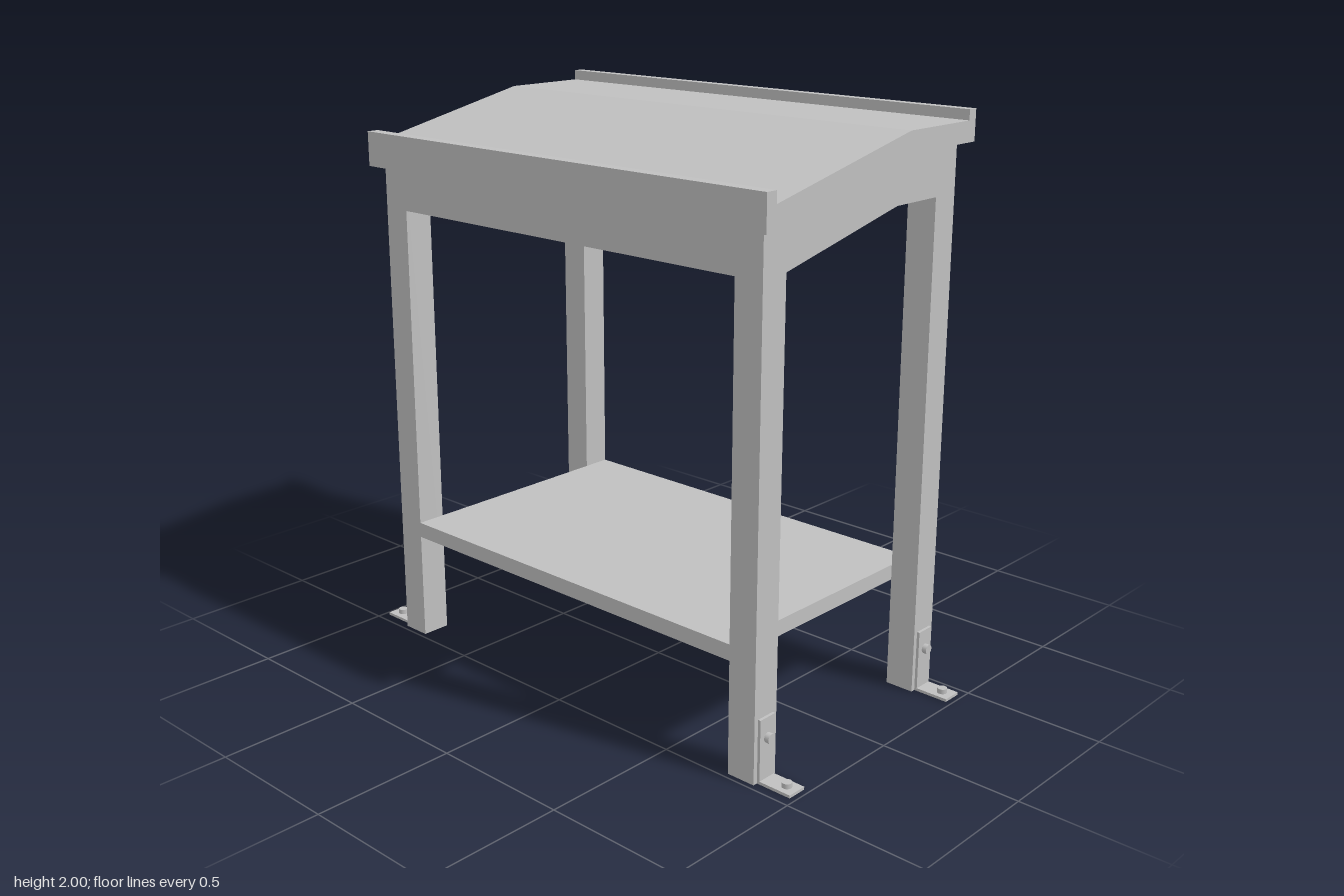
import * as THREE from 'three';

const steel = new THREE.MeshStandardMaterial({ color: 0xc0c0c0 });
steel.name = 'grey steel';

// Main dimensions
const LEG_OUT = 0.85, LEG_IN = 0.745;      // leg faces in x
const LEG_ZOUT = 0.48, LEG_ZIN = 0.375;    // leg faces in z
const RIDGE = -0.165;                      // z where the slope turns flat
const APRON = 0.04;                        // apron thickness

// Height of the worktop underside at a given z
const underside = z => (z > RIDGE ? 1.895 - 0.219 * (z + RIDGE * -1) : 1.895);

export function createModel() {
  const model = new THREE.Group();
  model.name = 'slopedWorkbench';

  const add = (name, geometry, x = 0, y = 0, z = 0, parent = model) => {
    const mesh = new THREE.Mesh(geometry, steel);
    mesh.name = name;
    mesh.position.set(x, y, z);
    parent.add(mesh);
    return mesh;
  };

  // Extrude a side profile of [z, y] points from x0 to x1
  const sideProfile = (points, x0, x1) => {
    const shape = new THREE.Shape(points.map(p => new THREE.Vector2(...p)));
    const geometry = new THREE.ExtrudeGeometry(shape, { depth: x1 - x0, bevelEnabled: false });
    return geometry.rotateY(-Math.PI / 2).translate(x1, 0, 0);
  };

  // Sloped worktop with a raised lip at the front and back
  add('worktop', sideProfile([
    [0.518, 1.745], [0.518, 1.865], [0.475, 1.865], [0.475, 1.826],
    [RIDGE, 1.965], [-0.482, 1.965], [-0.482, 2], [-0.518, 2],
    [-0.518, 1.895], [RIDGE, 1.895],
  ], -0.89, 0.89));

  // Lower shelf, set between the left and right legs
  add('shelf', new THREE.BoxGeometry(2 * LEG_IN, 0.055, 2 * LEG_ZOUT), 0, 0.4175, 0);

  // Front and back aprons
  for (const [name, z0, z1, bottom] of [
    ['frontApron', LEG_ZOUT - APRON, LEG_ZOUT, 1.6],
    ['backApron', -LEG_ZOUT, -LEG_ZOUT + APRON, 1.73],
  ]) {
    add(name, sideProfile(
      [[z0, bottom], [z1, bottom], [z1, underside(z1)], [z0, underside(z0)]], -LEG_IN, LEG_IN));
  }

  for (const side of [1, -1]) {
    const label = side > 0 ? 'left' : 'right';
    const xRange = (a, b) => (side > 0 ? [a, b] : [-b, -a]);

    // Side apron following the slope of the worktop
    add(label + 'Apron', sideProfile([
      [LEG_ZIN, 1.61], [LEG_ZIN, underside(LEG_ZIN)], [RIDGE, 1.895],
      [-LEG_ZIN, 1.895], [-LEG_ZIN, 1.73], [RIDGE, 1.73],
    ], ...xRange(LEG_OUT - APRON, LEG_OUT)));

    for (const end of [1, -1]) {
      const corner = label + (end > 0 ? 'Front' : 'Back');
      const [z0, z1] = end > 0 ? [LEG_ZIN, LEG_ZOUT] : [-LEG_ZOUT, -LEG_ZIN];

      // Leg cut to meet the worktop underside
      add(corner + 'Leg', sideProfile(
        [[z0, 0], [z1, 0], [z1, underside(z1)], [z0, underside(z0)]],
        ...xRange(LEG_IN, LEG_OUT)));

      // Angle bracket with one bolt into the leg and one into the floor
      const bracket = new THREE.Group();
      bracket.name = corner + 'Bracket';
      bracket.position.z = end * 0.4275;
      model.add(bracket);
      add('uprightPlate', new THREE.BoxGeometry(0.01, 0.21, 0.072), side * 0.855, 0.115, 0, bracket);
      add('floorPlate', new THREE.BoxGeometry(0.13, 0.01, 0.072), side * 0.915, 0.005, 0, bracket);
      add('floorBolt', new THREE.CylinderGeometry(0.017, 0.017, 0.018, 20), side * 0.94, 0.018, 0, bracket);
      add('legBolt', new THREE.CylinderGeometry(0.017, 0.017, 0.018, 20), side * 0.868, 0.15, 0, bracket)
        .rotation.z = Math.PI / 2;
    }
  }
  return model;
}
